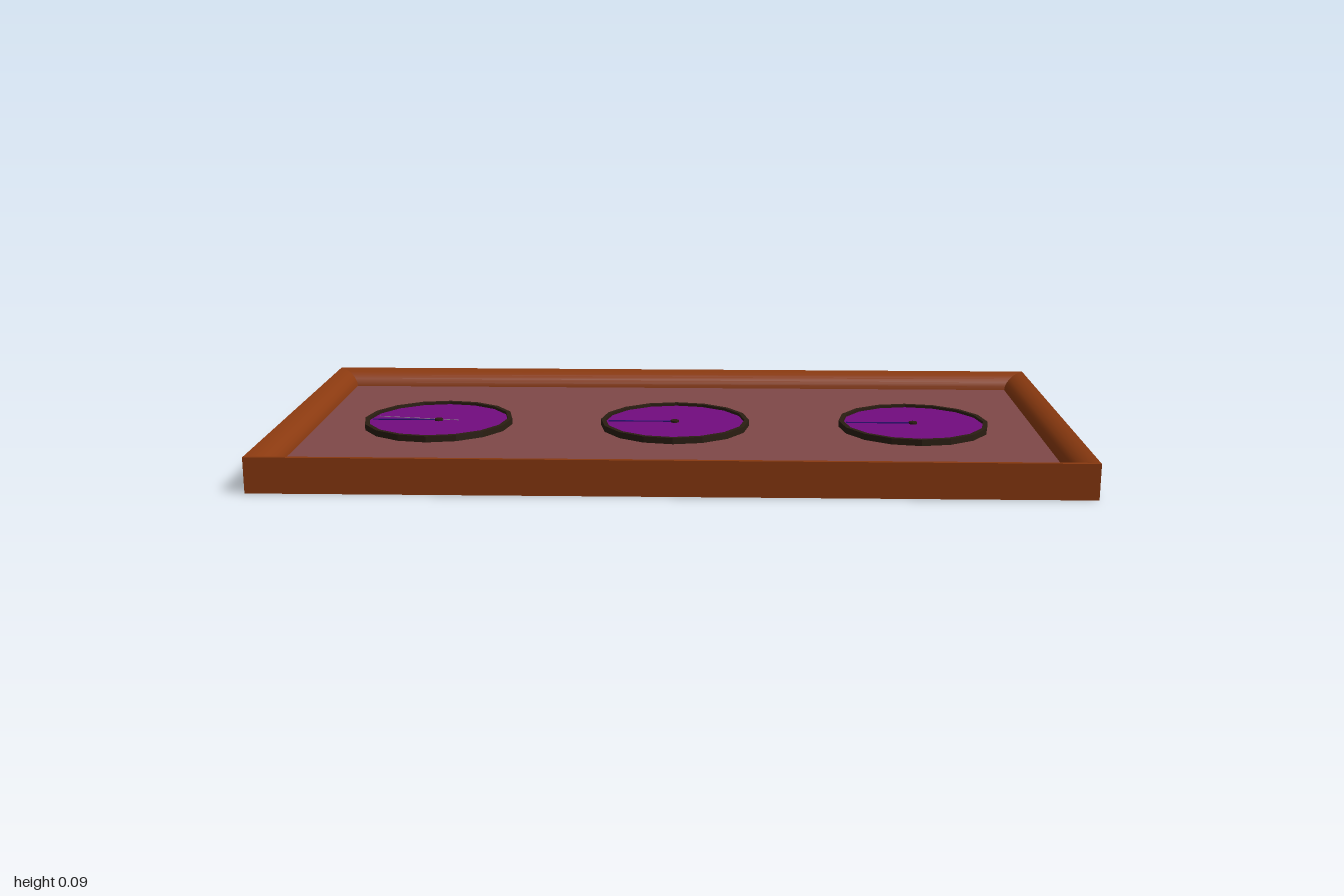
import * as THREE from 'three';

const mat = (color, extra = {}) => new THREE.MeshStandardMaterial({ color, ...extra });

function add(parent, name, geometry, material, x = 0, y = 0, z = 0) {
  const mesh = new THREE.Mesh(geometry, material);
  mesh.name = name;
  mesh.position.set(x, y, z);
  parent.add(mesh);
  return mesh;
}

// Sweeps a profile of [inset, y] points around the 2 x 1 rectangle with mitred corners
function rectangularSweep(profile) {
  const position = [], index = [];
  for (let side = 0; side < 4; side++) {
    const base = position.length / 3;
    for (const [inset, y] of profile) {
      const hx = 1 - inset, hz = 0.5 - inset;
      const corners = [[hx, hz], [hx, -hz], [-hx, -hz], [-hx, hz]];
      for (const [x, z] of [corners[side], corners[(side + 1) % 4]]) position.push(x, y, z);
    }
    for (let i = 0; i < profile.length - 1; i++) {
      const a = base + i * 2;
      index.push(a, a + 1, a + 3, a, a + 3, a + 2);
    }
  }
  const geometry = new THREE.BufferGeometry();
  geometry.setAttribute('position', new THREE.Float32BufferAttribute(position, 3));
  geometry.setIndex(index);
  geometry.computeVertexNormals();
  return geometry;
}

export function createModel() {
  const model = new THREE.Group();
  model.name = 'dialPanel';

  const wood = mat(0x8b3a10, { side: THREE.DoubleSide });
  const bezelMat = mat(0x2a1e12, { side: THREE.DoubleSide, flatShading: true });
  const faceMat = mat(0x730c80, { flatShading: true });
  const needleMat = mat(0x2a1070);
  const hubMat = mat(0x2a1e12);

  // Hollow frame: upright outer wall and a rounded moulding down to the panel
  const frame = new THREE.Group();
  frame.name = 'frame';
  model.add(frame);
  add(frame, 'outerWall', rectangularSweep([[0, 0], [0, 0.088]]), wood);
  const moulding = [];
  for (let i = 0; i <= 6; i++) {
    const t = (i / 6) * Math.PI / 2;
    moulding.push([0.06 * Math.sin(t), 0.045 + 0.043 * Math.cos(t)]);
  }
  add(frame, 'moulding', rectangularSweep(moulding), wood);

  // Thin recessed panel
  add(model, 'panel', new THREE.BoxGeometry(1.88, 0.004, 0.88), mat(0x804848), 0, 0.044, 0);

  // Three dials, each with a raised bezel, face, needle and hub
  const bezelProfile = [[0.195, 0], [0.195, 0.016], [0.183, 0.016], [0.183, 0]]
    .map(([r, y]) => new THREE.Vector2(r, y));
  for (const x of [-0.625, 0, 0.625]) {
    const dial = new THREE.Group();
    dial.name = 'dial';
    dial.position.set(x, 0.046, 0);
    model.add(dial);
    add(dial, 'bezel', new THREE.LatheGeometry(bezelProfile, 16), bezelMat);
    add(dial, 'face', new THREE.CylinderGeometry(0.184, 0.184, 0.009, 16), faceMat, 0, 0.0045, 0);
    add(dial, 'needle', new THREE.BoxGeometry(0.175, 0.002, 0.006), needleMat, -0.0875, 0.011, 0);
    add(dial, 'hub', new THREE.CylinderGeometry(0.011, 0.011, 0.006, 12), hubMat, 0, 0.011, 0);

    // The first dial carries a second, finer pointer
    if (x < 0) {
      const pointer = add(dial, 'finePointer', new THREE.BoxGeometry(0.22, 0.001, 0.003),
        mat(0x8a7a90), -0.055, 0.0125, -0.009);
      pointer.rotation.y = -0.17;
    }
  }
  return model;
}
